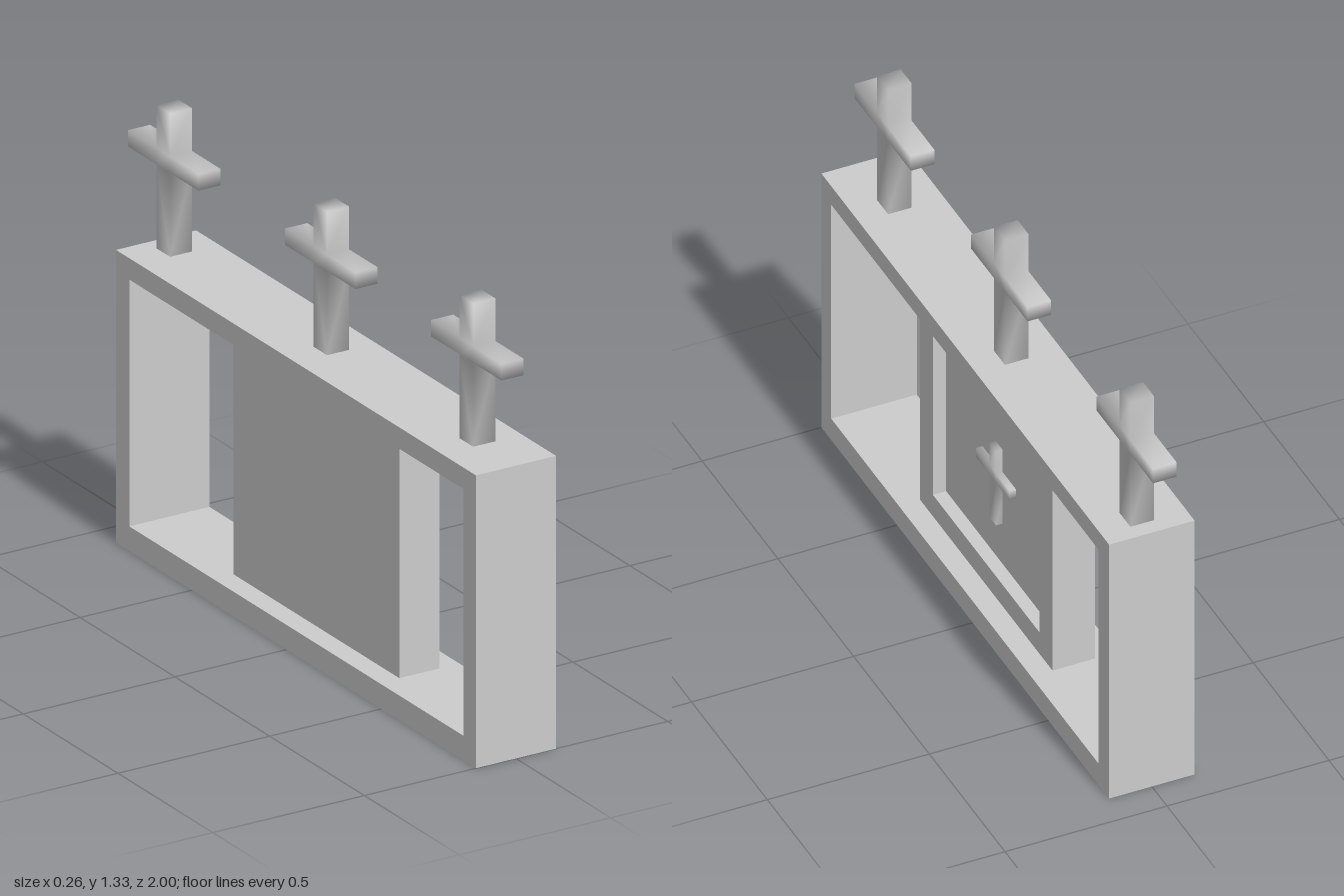
import * as THREE from 'three';
import { mergeVertices } from 'three/addons/utils/BufferGeometryUtils.js';

const material = new THREE.MeshStandardMaterial({ color: 0xcccccc });

// Rectangle outline in the z-y plane
const rect = (Type, z0, z1, y0, y1) => new Type([
  new THREE.Vector2(z0, y0), new THREE.Vector2(z1, y0),
  new THREE.Vector2(z1, y1), new THREE.Vector2(z0, y1),
]);

// Extrude a z-y outline across x, from x0 to x1
function extrudeX(shape, x0, x1) {
  return new THREE.ExtrudeGeometry(shape, { depth: x1 - x0, bevelEnabled: false })
    .rotateY(-Math.PI / 2).translate(x1, 0, 0);
}

function addMesh(parent, name, geometry) {
  const mesh = new THREE.Mesh(geometry, material);
  mesh.name = name;
  parent.add(mesh);
  return mesh;
}

// Latin cross standing on y = 0, with softly shaded (shared) normals
function crossGeometry({ height, postHalf, armHalf, armLow, armHigh, x0, x1 }) {
  const half = [[postHalf, 0], [postHalf, armLow], [armHalf, armLow],
    [armHalf, armHigh], [postHalf, armHigh], [postHalf, height]];
  const outline = [...half, ...half.map(([z, y]) => [-z, y]).reverse()];
  const shape = new THREE.Shape(outline.map(([z, y]) => new THREE.Vector2(z, y)));
  const geometry = extrudeX(shape, x0, x1);
  geometry.deleteAttribute('normal');
  geometry.deleteAttribute('uv');
  const smooth = mergeVertices(geometry, 1e-4);
  smooth.computeVertexNormals();
  return smooth;
}

export function createModel() {
  const model = new THREE.Group();
  model.name = 'memorial';

  // Open rectangular frame
  const frame = rect(THREE.Shape, -0.9, 1, 0, 0.89);
  frame.holes.push(rect(THREE.Path, -0.83, 0.935, 0.075, 0.825));
  addMesh(model, 'frame', extrudeX(frame, -0.132, 0.132));

  // Central panel: solid back with a raised rim around the recess
  const panel = new THREE.Group();
  panel.name = 'panel';
  model.add(panel);
  addMesh(panel, 'panelBack', extrudeX(rect(THREE.Shape, -0.385, 0.49, 0.075, 0.825), -0.066, 0.025));
  const rim = rect(THREE.Shape, -0.385, 0.49, 0.075, 0.825);
  rim.holes.push(rect(THREE.Path, -0.3, 0.405, 0.15, 0.75));
  addMesh(panel, 'panelRim', extrudeX(rim, 0.025, 0.066));

  // Small cross raised from the recess floor
  const smallCross = addMesh(panel, 'panelCross', crossGeometry({
    height: 0.26, postHalf: 0.021, armHalf: 0.11, armLow: 0.15, armHigh: 0.182, x0: 0.005, x1: 0.045,
  }));
  smallCross.position.set(0, 0.29, 0.055);

  // Three crosses along the top
  const topCross = crossGeometry({
    height: 0.435, postHalf: 0.036, armHalf: 0.186, armLow: 0.255, armHigh: 0.305, x0: -0.03, x1: 0.043,
  });
  for (const z of [0.786, 0.015, -0.814]) {
    addMesh(model, 'topCross', topCross).position.set(0, 0.89, z);
  }

  return model;
}
